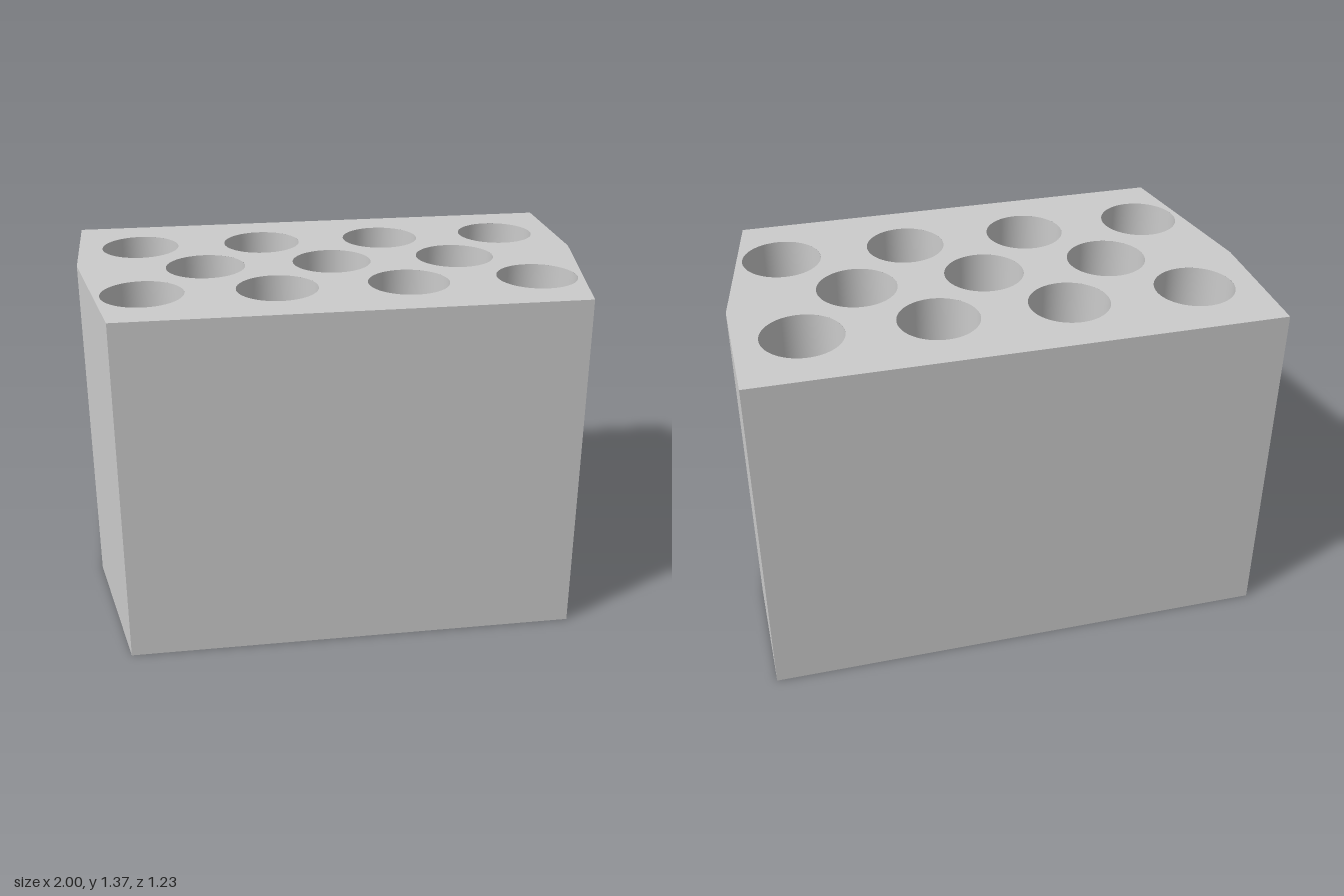
import * as THREE from 'three';

const HEIGHT = 1.365;
const FLOOR = 0.12; // solid thickness under each hole
const RADIUS = 0.155;
const SEGMENTS = 48;

// Plan outline as [x, z], running counter-clockwise seen from above
const OUTLINE = [
  [-0.875, 0.615], [0.875, 0.615], [1, -0.075],
  [1, -0.615], [-1, -0.615], [-1, -0.075],
];

// Three staggered rows of holes
const ROWS = [
  { z: -0.31, xs: [-0.75, -0.25, 0.25, 0.75] },
  { z: 0, xs: [-0.5, 0, 0.5] },
  { z: 0.31, xs: [-0.75, -0.25, 0.25, 0.75] },
];

function outlineShape() {
  return new THREE.Shape(OUTLINE.map(([x, z]) => new THREE.Vector2(x, -z)));
}

export function createModel() {
  const group = new THREE.Group();
  group.name = 'holderBlock';
  const material = new THREE.MeshStandardMaterial({ color: 0xcccccc });

  function add(geometry, name, x = 0, y = 0, z = 0) {
    const mesh = new THREE.Mesh(geometry, material);
    mesh.name = name;
    mesh.position.set(x, y, z);
    group.add(mesh);
    return mesh;
  }

  // Top face, pierced by the holes
  const top = outlineShape();
  for (const { z, xs } of ROWS) {
    for (const x of xs) {
      top.holes.push(new THREE.Path().absarc(x, -z, RADIUS, 0, Math.PI * 2, true));
    }
  }
  add(new THREE.ShapeGeometry(top, SEGMENTS).rotateX(-Math.PI / 2), 'topFace', 0, HEIGHT, 0);

  // Solid underside
  const under = new THREE.ShapeGeometry(outlineShape());
  under.rotateX(-Math.PI / 2).rotateZ(Math.PI);
  add(under, 'underside');

  // One flat wall per outline edge
  OUTLINE.forEach(([x0, z0], i) => {
    const [x1, z1] = OUTLINE[(i + 1) % OUTLINE.length];
    const wall = new THREE.PlaneGeometry(Math.hypot(x1 - x0, z1 - z0), HEIGHT);
    wall.rotateY(Math.atan2(z0 - z1, x1 - x0));
    add(wall, 'outerWall', (x0 + x1) / 2, HEIGHT / 2, (z0 + z1) / 2);
  });

  // Blind holes: the profile runs downwards so the bore faces inwards
  const bore = new THREE.LatheGeometry(
    [new THREE.Vector2(RADIUS, HEIGHT), new THREE.Vector2(RADIUS, FLOOR)], SEGMENTS);
  const boreFloor = new THREE.CircleGeometry(RADIUS, SEGMENTS).rotateX(-Math.PI / 2);
  for (const { z, xs } of ROWS) {
    for (const x of xs) {
      add(bore, 'holeWall', x, 0, z);
      add(boreFloor, 'holeFloor', x, FLOOR, z);
    }
  }

  return group;
}
